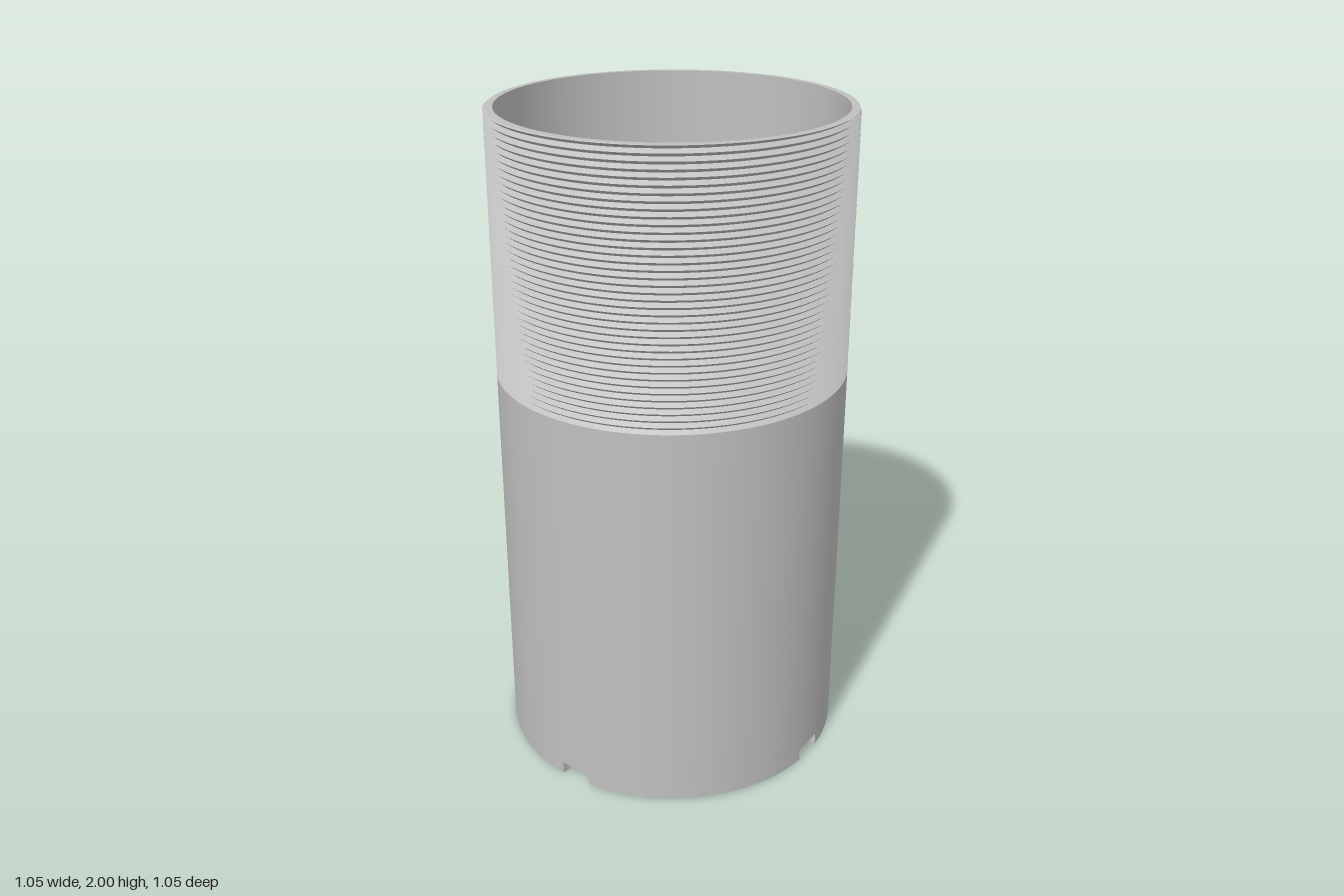
import * as THREE from 'three';
import { mergeGeometries } from 'three/addons/utils/BufferGeometryUtils.js';

const R = 0.527, INNER = 0.499, ROOT = 0.514; // outer wall, bore, thread root
const TOP = 2, START = 1.205, PITCH = 0.02;   // thread extent and pitch
const NOTCH_H = 0.04;
const TAU = Math.PI * 2, DEG = Math.PI / 180;

// Strip between two curves, each t -> [radius, y, angle]; faces along (dt x up)
function strip(lower, upper, n) {
  const pos = [], index = [];
  for (let i = 0; i <= n; i++) {
    for (const curve of [lower, upper]) {
      const [r, y, a] = curve(i / n);
      pos.push(r * Math.cos(a), y, -r * Math.sin(a));
    }
    if (i < n) {
      const b = i * 2;
      index.push(b, b + 2, b + 3, b, b + 3, b + 1);
    }
  }
  const g = new THREE.BufferGeometry();
  g.setAttribute('position', new THREE.Float32BufferAttribute(pos, 3));
  g.setIndex(index);
  g.computeVertexNormals();
  return g;
}

// Arc at a fixed radius and height
const arc = (r, y, a0 = 0, a1 = TAU) => t => [r, y, a0 + (a1 - a0) * t];
// Straight radial line
const radial = (r0, r1, y0, y1, a) => t => [r0 + (r1 - r0) * t, y0 + (y1 - y0) * t, a];

// Row k of the thread: even rows are crests, odd rows are roots, cut off at the top
function threadRow(k) {
  return t => {
    const base = START + PITCH * t;
    const h = Math.min(k, (TOP - base) / (PITCH / 2));
    const m = h % 2;
    const toRoot = m < 1 ? m : 2 - m;
    return [R + (ROOT - R) * toRoot, base + h * PITCH / 2, TAU * t];
  };
}

export function createModel() {
  const group = new THREE.Group();
  const metal = new THREE.MeshStandardMaterial({ color: 0xc0c0c0 });
  metal.name = 'grey metal';
  const add = (name, parts) => {
    const mesh = new THREE.Mesh(mergeGeometries(parts), metal);
    mesh.name = name;
    group.add(mesh);
  };

  // Smooth outer wall, ending at the first turn of the thread
  add('tubeWall', [strip(arc(R, NOTCH_H), threadRow(0), 128)]);

  // Bore, facing inward
  add('bore', [strip(arc(INNER, TOP), arc(INNER, NOTCH_H), 128)]);

  // Helical V thread, with the blunt end of its first groove
  const rows = Math.ceil((TOP - START) / (PITCH / 2));
  const thread = [];
  for (let k = 0; k < rows; k++) thread.push(strip(threadRow(k), threadRow(k + 1), 128));
  thread.push(strip(
    radial(R, ROOT, START, START + PITCH / 2, 0),
    radial(R, ROOT, START + PITCH, START + PITCH / 2, 0), 1));
  add('thread', thread);

  // Flat rim at the top
  add('topRim', [strip(threadRow(rows), arc(INNER, TOP), 128)]);

  // Bottom band, cut through by four equal notches
  const band = [];
  for (let i = 0; i < 4; i++) {
    const centre = (47.2 + 90 * i) * DEG, half = 5.4 * DEG;
    const a0 = centre + half, a1 = centre + Math.PI / 2 - half;
    band.push(
      strip(arc(R, 0, a0, a1), arc(R, NOTCH_H, a0, a1), 28),
      strip(arc(INNER, NOTCH_H, a0, a1), arc(INNER, 0, a0, a1), 28),
      strip(arc(INNER, 0, a0, a1), arc(R, 0, a0, a1), 28),
      // notch sides
      strip(radial(INNER, R, 0, 0, a0), radial(INNER, R, NOTCH_H, NOTCH_H, a0), 1),
      strip(radial(R, INNER, 0, 0, a1), radial(R, INNER, NOTCH_H, NOTCH_H, a1), 1),
      // notch roof
      strip(arc(INNER, NOTCH_H, centre - half, a0), arc(R, NOTCH_H, centre - half, a0), 4));
  }
  add('notchedBase', band);

  return group;
}
